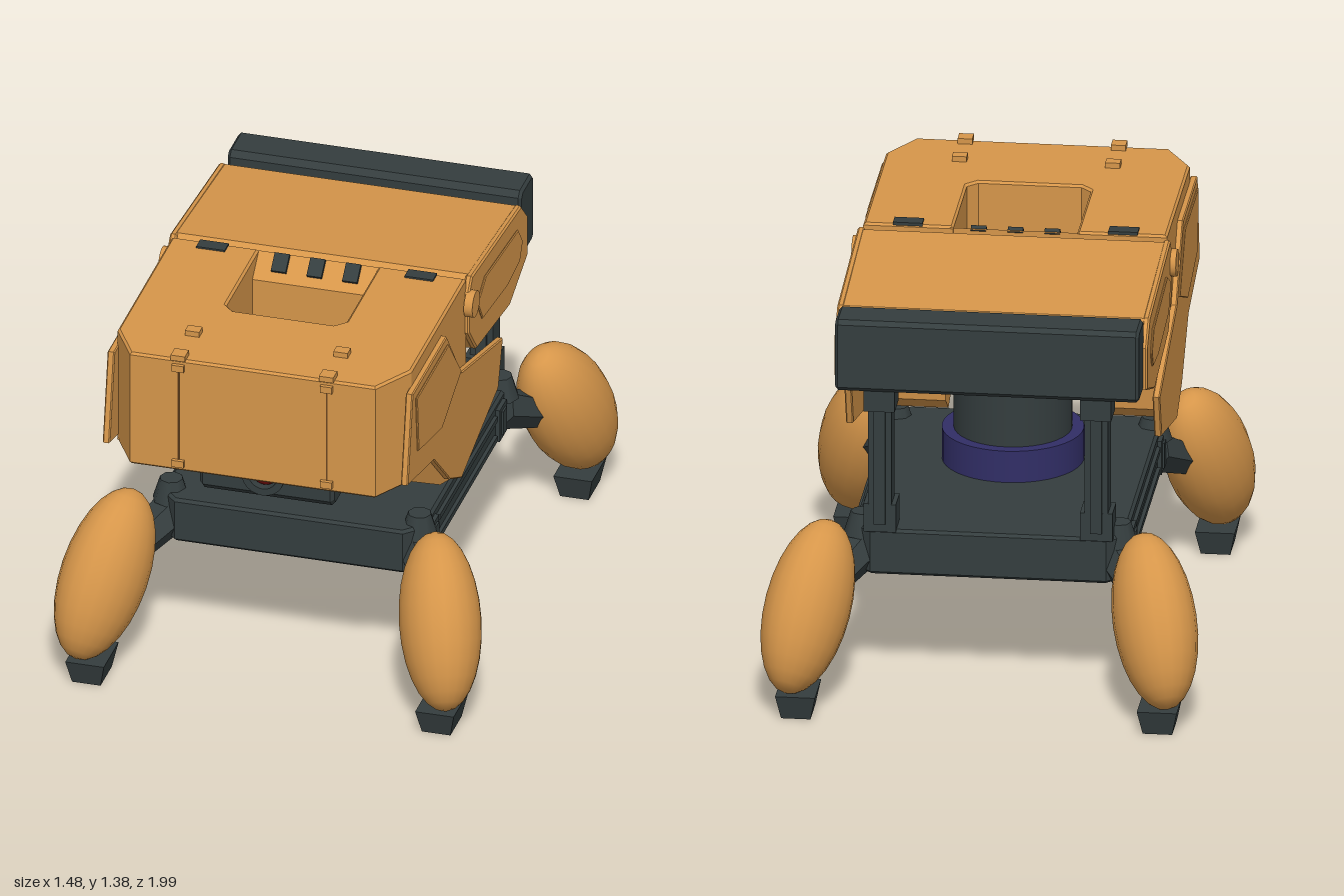
import * as THREE from 'three';

const paint = (name, color) => Object.assign(new THREE.MeshStandardMaterial({ color }), { name });

export function createModel() {
  const orange = paint('orange', 0xd6964a);
  const dark = paint('darkSlate', 0x343d3e);
  const blue = paint('indigo', 0x312e66);
  const red = paint('red', 0x820d0d);
  const seam = paint('seamBrown', 0x6b4520);

  const model = new THREE.Group();
  model.name = 'walker';

  const add = (name, geo, mat, x = 0, y = 0, z = 0) => {
    const m = new THREE.Mesh(geo, mat);
    m.name = name;
    m.position.set(x, y, z);
    model.add(m);
    return m;
  };
  const box = (name, mat, w, h, d, x, y, z) => add(name, new THREE.BoxGeometry(w, h, d), mat, x, y, z);
  const extrude = (pts, depth, bevel) => new THREE.ExtrudeGeometry(
    new THREE.Shape(pts.map((p) => new THREE.Vector2(...p))), {
      depth: depth - 2 * bevel, bevelEnabled: bevel > 0, bevelSize: bevel,
      bevelThickness: bevel, bevelOffset: -bevel, bevelSegments: 1,
    }).translate(0, 0, bevel);
  // Profile of [z, y] points, running from x0 to x1
  const sideSlab = (name, pts, x0, x1, mat, bevel = 0) =>
    add(name, extrude(pts, x1 - x0, bevel).rotateY(-Math.PI / 2).translate(x1, 0, 0), mat);
  // Plan of [x, z] points, running from y0 to y1
  const planSlab = (name, pts, y0, y1, mat, bevel = 0) =>
    add(name, extrude(pts, y1 - y0, bevel).rotateX(Math.PI / 2).translate(0, y1, 0), mat);
  // Same profile on both sides, between distances x0 and x1 from the middle
  const bothSides = (name, pts, x0, x1, mat, bevel) => {
    sideSlab(name + 'Left', pts, x0, x1, mat, bevel);
    sideSlab(name + 'Right', pts, -x1, -x0, mat, bevel);
  };

  // Base platform with cut corners
  planSlab('basePlatform', [
    [-0.40, 0.55], [0.40, 0.55], [0.46, 0.49], [0.46, -0.54],
    [0.40, -0.60], [-0.40, -0.60], [-0.46, -0.54], [-0.46, 0.49],
  ], 0.404, 0.567, dark, 0.01);

  // Turntable and neck
  add('turntable', new THREE.CylinderGeometry(0.24, 0.24, 0.115, 40), blue, 0, 0.6225, 0.12);
  add('neck', new THREE.CylinderGeometry(0.2, 0.2, 0.28, 40), dark, 0, 0.82, 0.12);

  // Head block under the shell, with its eye sunk in a ring
  sideSlab('head', [[0.82, 0.96], [0.82, 0.80], [0.795, 0.775], [0.20, 0.775], [0.20, 0.96]], -0.235, 0.235, dark, 0.012);
  const ring = [[0.05, 0], [0.075, 0], [0.075, 0.045], [0.05, 0.045], [0.05, 0]].map((p) => new THREE.Vector2(...p));
  const eyeRing = new THREE.LatheGeometry(ring, 24).toNonIndexed();
  eyeRing.computeVertexNormals();
  add('eyeRing', eyeRing.rotateX(Math.PI / 2), dark, 0, 0.89, 0.82);
  add('eye', new THREE.SphereGeometry(0.05, 24, 16), red, 0, 0.89, 0.82);

  // Front shell with the well notched into its back edge
  planSlab('frontShell', [
    [0.21, 0.182], [0.515, 0.182], [0.515, 0.84], [0.43, 0.985], [-0.43, 0.985], [-0.515, 0.84],
    [-0.515, 0.182], [-0.21, 0.182], [-0.21, 0.575], [-0.175, 0.61], [0.175, 0.61], [0.21, 0.575],
  ], 0.935, 1.365, orange, 0.008);
  sideSlab('wellLedge', [[0.184, 1.36], [0.262, 1.29], [0.262, 0.94], [0.184, 0.94]], -0.222, 0.222, orange);

  // Dark vents along the joint between front and rear shells
  for (const x of [-0.125, 0, 0.125]) {
    box('smallVent', dark, 0.052, 0.02, 0.066, x, 1.339, 0.213).rotation.x = 0.732;
  }
  for (const s of [-1, 1]) box('wideVent', dark, 0.1, 0.016, 0.05, s * 0.365, 1.363, 0.21);

  // Hatch clips and seams on the front shell
  for (const s of [-1, 1]) {
    const x = s * 0.26;
    box('topClip', orange, 0.05, 0.02, 0.04, x, 1.374, 0.80);
    box('frontTopClip', orange, 0.05, 0.02, 0.05, x, 1.374, 0.97);
    box('frontUpperClip', orange, 0.042, 0.025, 0.025, x, 1.335, 0.986);
    box('frontLowerClip', orange, 0.042, 0.025, 0.025, x, 0.967, 0.986);
    box('frontSeam', seam, 0.006, 0.36, 0.004, x, 1.15, 0.985);
  }

  // Rear shell and its side plates
  sideSlab('rearShell', [
    [0.188, 1.315], [0.14, 1.358], [-0.44, 1.308], [-0.52, 1.23],
    [-0.52, 1.08], [-0.30, 1.00], [0.10, 1.05], [0.188, 1.15],
  ], -0.51, 0.51, orange);
  bothSides('rearSidePlate', [
    [0.195, 1.31], [0.155, 1.36], [-0.44, 1.31], [-0.52, 1.23],
    [-0.52, 1.08], [-0.30, 1.00], [0.10, 1.05], [0.195, 1.16],
  ], 0.505, 0.53, orange, 0.006);
  bothSides('rearInset', [
    [0.11, 1.23], [0.01, 1.285], [-0.38, 1.25], [-0.435, 1.18], [-0.40, 1.12], [-0.25, 1.105], [0.05, 1.14],
  ], 0.53, 0.537, orange, 0.003);

  // Front side plates, their insets and the solid cheeks inside them
  bothSides('cheekPlate', [
    [0.895, 1.305], [0.48, 1.305], [0.30, 1.07], [-0.20, 0.93], [-0.143, 0.767],
    [0.30, 0.66], [0.44, 0.73], [0.635, 0.91], [0.955, 0.985],
  ], 0.51, 0.535, orange, 0.004);
  bothSides('cheekInset', [
    [0.865, 1.275], [0.48, 1.275], [0.325, 1.09], [0.56, 0.995], [0.845, 1.06],
  ], 0.535, 0.542, orange, 0.003);
  bothSides('cheek', [
    [0.86, 0.95], [0.83, 0.93], [0.485, 0.73], [0.30, 0.663], [0.22, 0.72], [0.19, 0.95],
  ], 0.24, 0.512, orange);

  // Rear crossbar
  sideSlab('rearCrossbar', [
    [-0.485, 1.31], [-0.505, 1.33], [-0.625, 1.33], [-0.64, 1.315],
    [-0.64, 1.09], [-0.625, 1.075], [-0.50, 1.075], [-0.485, 1.09],
  ], -0.515, 0.515, dark, 0.01);

  // Tapered six-sided arm between two points
  const up = new THREE.Vector3(0, 1, 0);
  const span = (name, a, b, r0, r1) => {
    const d = b.clone().sub(a);
    const geo = new THREE.CylinderGeometry(r1, r0, d.length(), 6).toNonIndexed();
    geo.computeVertexNormals();
    const m = add(name, geo, dark);
    m.position.copy(a).addScaledVector(d, 0.5);
    m.quaternion.setFromUnitVectors(up, d.normalize());
  };

  for (const s of [-1, 1]) {
    // Hinge between the front and rear side plates
    add('sideHinge', new THREE.CylinderGeometry(0.047, 0.047, 0.03, 20).rotateZ(Math.PI / 2), orange, s * 0.535, 1.27, 0.18);

    // Rear post with collars
    box('rearPost', dark, 0.08, 0.52, 0.085, s * 0.367, 0.82, -0.562);
    box('postRib', dark, 0.04, 0.46, 0.11, s * 0.367, 0.82, -0.562);
    box('postFoot', dark, 0.11, 0.1, 0.11, s * 0.367, 0.61, -0.55);
    box('postCollar', dark, 0.105, 0.08, 0.12, s * 0.367, 1.04, -0.562);

    // Side rails on the platform
    for (const y of [0.45, 0.525]) box('sideRail', dark, 0.02, 0.02, 0.70, s * 0.463, y, 0);
    for (const z of [0.41, -0.41]) {
      box('railBracket', dark, 0.03, 0.12, 0.085, s * 0.46, 0.487, z);
      box('railBracketRib', dark, 0.02, 0.09, 0.04, s * 0.472, 0.487, z);
    }

    for (const f of [-1, 1]) {
      // Hip joint and arm at each platform corner
      const at = (x, y, z) => new THREE.Vector3(s * x, y, f * z - 0.025);
      const hub = at(0.435, 0.56, 0.49);
      add('cornerHub', new THREE.CylinderGeometry(0.04, 0.065, 0.08, 8), dark, hub.x, hub.y, hub.z);
      span('legArm', at(0.43, 0.475, 0.49), at(0.545, 0.38, 0.67), 0.075, 0.055);

      // Egg-shaped leg leaning outward
      const c = at(0.588, 0.355, 0.77);
      const leg = add('leg', new THREE.SphereGeometry(1, 20, 14), orange, c.x, c.y, c.z);
      leg.scale.set(0.14, 0.304, 0.167);
      leg.rotation.set(-0.537, Math.atan2(s * 0.39, f * 0.92), 0, 'YXZ');

      // Foot: a box narrowing to the ground
      const foot = new THREE.BoxGeometry(0.135, 0.085, 0.18);
      const p = foot.attributes.position;
      for (let i = 0; i < p.count; i++) {
        if (p.getY(i) < 0) p.setXYZ(i, p.getX(i) * 0.74, p.getY(i), p.getZ(i) * 0.76);
      }
      foot.computeVertexNormals();
      const t = at(0.613, 0.0425, 0.838);
      add('foot', foot, dark, t.x, t.y, t.z);
    }
  }
  return model;
}
